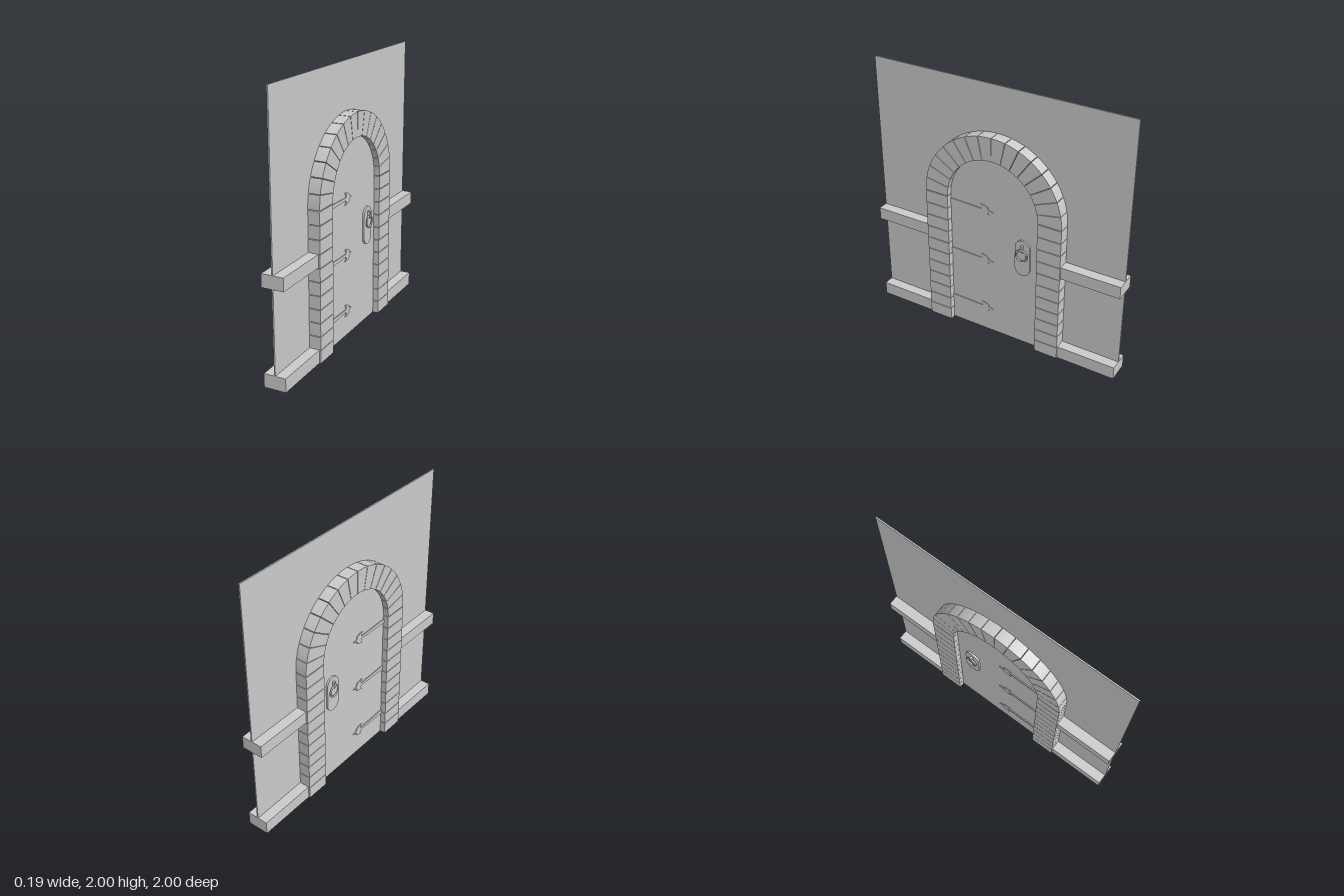
import * as THREE from 'three';

const material = new THREE.MeshStandardMaterial({ color: 0xcccccc, flatShading: true });
const smooth = new THREE.MeshStandardMaterial({ color: 0xcccccc });

const INNER = 0.365, OUTER = 0.55, SPRING = 1.1, RISE_IN = 0.375, RISE_OUT = 0.552;
const STONE = 0.188, DOOR = 0.1, GAP = 0.005;

function add(parent, name, geometry, mat = material) {
  const mesh = new THREE.Mesh(geometry, mat);
  mesh.name = name;
  parent.add(mesh);
  return mesh;
}

// Box given by its thickness in x and its ranges in y and z
function box(parent, name, thick, y0, y1, z0, z1, x = 0) {
  const mesh = add(parent, name, new THREE.BoxGeometry(thick, y1 - y0, Math.abs(z1 - z0)));
  mesh.position.set(x, (y0 + y1) / 2, (z0 + z1) / 2);
  return mesh;
}

// Outline drawn as (z, y), extruded in x and centred on x = 0
function slab(shape, thick, curveSegments = 16) {
  const g = new THREE.ExtrudeGeometry(shape, { depth: thick, bevelEnabled: false, curveSegments });
  return g.translate(0, 0, -thick / 2).rotateY(-Math.PI / 2);
}

function doorShape() {
  const s = new THREE.Shape();
  s.moveTo(-INNER, 0);
  s.lineTo(INNER, 0);
  s.lineTo(INNER, SPRING);
  s.absellipse(0, SPRING, INNER, RISE_IN, 0, Math.PI, false, 0);
  s.closePath();
  return s;
}

// One wedge-shaped stone of the arch
function wedgeShape(a0, a1) {
  const steps = 3, pts = [];
  const at = (a, rz, ry) => new THREE.Vector2(Math.cos(a) * rz, SPRING + Math.sin(a) * ry);
  for (let i = 0; i <= steps; i++) pts.push(at(a0 + (a1 - a0) * i / steps, OUTER, RISE_OUT));
  for (let i = steps; i >= 0; i--) pts.push(at(a0 + (a1 - a0) * i / steps, INNER, RISE_IN));
  return new THREE.Shape(pts);
}

// Strap hinge with a forked, pointed end, running from z = INNER inward
function hingeShape() {
  const half = [[0, 0.017], [0.26, 0.010], [0.272, 0.024], [0.255, 0.045], [0.29, 0.040],
    [0.318, 0.026], [0.312, 0.012], [0.355, 0]];
  const lower = half.slice(0, -1).reverse().map(([u, v]) => [u, -v]);
  return new THREE.Shape([...half, ...lower].map(([u, v]) => new THREE.Vector2(INNER - u, v)));
}

function plateShape() {
  const s = new THREE.Shape();
  s.absarc(0, 0.84, 0.06, 0, Math.PI, false);
  s.absarc(0, 0.67, 0.06, Math.PI, Math.PI * 2, false);
  s.closePath();
  return s;
}

export function createModel() {
  const model = new THREE.Group();
  model.name = 'archedDoorway';

  // Thin wall panel and the door filling the arch
  box(model, 'wall', 0.01, 0, 2, -1, 1);
  add(model, 'door', slab(doorShape(), DOOR, 32));

  // Rails and stone pillars on both sides of the doorway
  for (const side of [-1, 1]) {
    box(model, 'baseRail', 0.164, 0, 0.1, side * OUTER, side);
    box(model, 'middleRail', 0.164, 0.705, 0.8, side * OUTER, side);
    for (let i = 0; i < 11; i++) {
      const y = i * 0.1;
      box(model, 'pillarStone', STONE, y, y + 0.1 - GAP, side * INNER, side * OUTER);
    }
  }

  // Arch stones
  const count = 16, step = Math.PI / count, joint = 0.004;
  for (let i = 0; i < count; i++) {
    add(model, 'archStone', slab(wedgeShape(i * step + joint, (i + 1) * step - joint), STONE));
  }

  // Hinges and ring handle on both faces of the door
  for (const face of [-1, 1]) {
    for (const y of [0.2, 0.63, 1.05]) {
      add(model, 'hinge', slab(hingeShape(), 0.008)).position.set(face * (DOOR / 2 + 0.003), y, 0);
    }
    const handle = new THREE.Group();
    handle.name = 'handle';
    handle.position.z = -0.235;
    model.add(handle);
    add(handle, 'handlePlate', slab(plateShape(), 0.016)).position.x = face * (DOOR / 2 + 0.006);
    box(handle, 'ringHolder', 0.03, 0.815, 0.865, -0.008, 0.008, face * 0.07);
    const ring = add(handle, 'handleRing', new THREE.TorusGeometry(0.0435, 0.0065, 10, 32), smooth);
    ring.rotation.y = Math.PI / 2;
    ring.position.set(face * 0.076, 0.785, 0);
  }
  return model;
}
